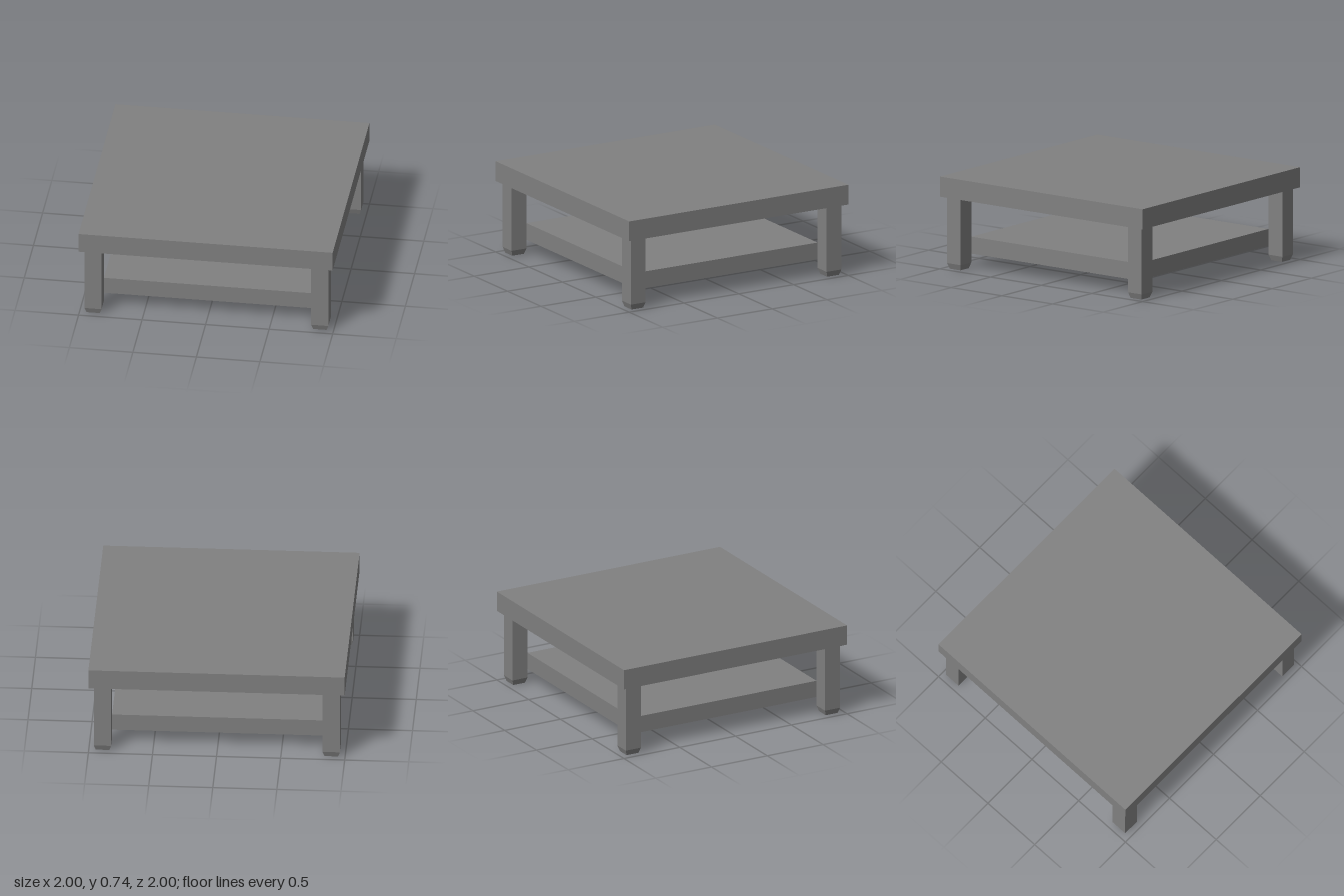
import * as THREE from 'three';

const grey = new THREE.MeshStandardMaterial({ color: 0x808080 });
grey.name = 'grey';

const LEG = 0.135;         // leg width
const LEG_CENTRE = 0.8925; // leg offset from the middle
const TOP_BOTTOM = 0.575;  // underside of the table top
const FOOT = 0.045;        // height of the tapered foot

// Square slab between two heights
function slab(name, width, y0, y1) {
  const mesh = new THREE.Mesh(new THREE.BoxGeometry(width, y1 - y0, width), grey);
  mesh.name = name;
  mesh.position.y = (y0 + y1) / 2;
  return mesh;
}

// Square leg with a foot that narrows to the floor
function makeLeg(name) {
  const leg = new THREE.Group();
  leg.name = name;
  leg.add(slab('post', LEG, FOOT, TOP_BOTTOM));

  const foot = slab('foot', LEG, 0, FOOT);
  const p = foot.geometry.attributes.position;
  for (let i = 0; i < p.count; i++) {
    if (p.getY(i) < 0) p.setXYZ(i, p.getX(i) * 0.78, p.getY(i), p.getZ(i) * 0.78);
  }
  foot.geometry.computeVertexNormals();
  leg.add(foot);
  return leg;
}

export function createModel() {
  const table = new THREE.Group();
  table.name = 'coffeeTable';

  table.add(slab('tableTop', 2, TOP_BOTTOM, 0.735));
  table.add(slab('lowerShelf', 1.65, 0.115, 0.25));

  // Four legs, one at each corner
  for (const [side, x] of [['Left', 1], ['Right', -1]]) {
    for (const [end, z] of [['front', 1], ['back', -1]]) {
      const leg = makeLeg(`${end}${side}Leg`);
      leg.position.set(x * LEG_CENTRE, 0, z * LEG_CENTRE);
      table.add(leg);
    }
  }
  return table;
}
